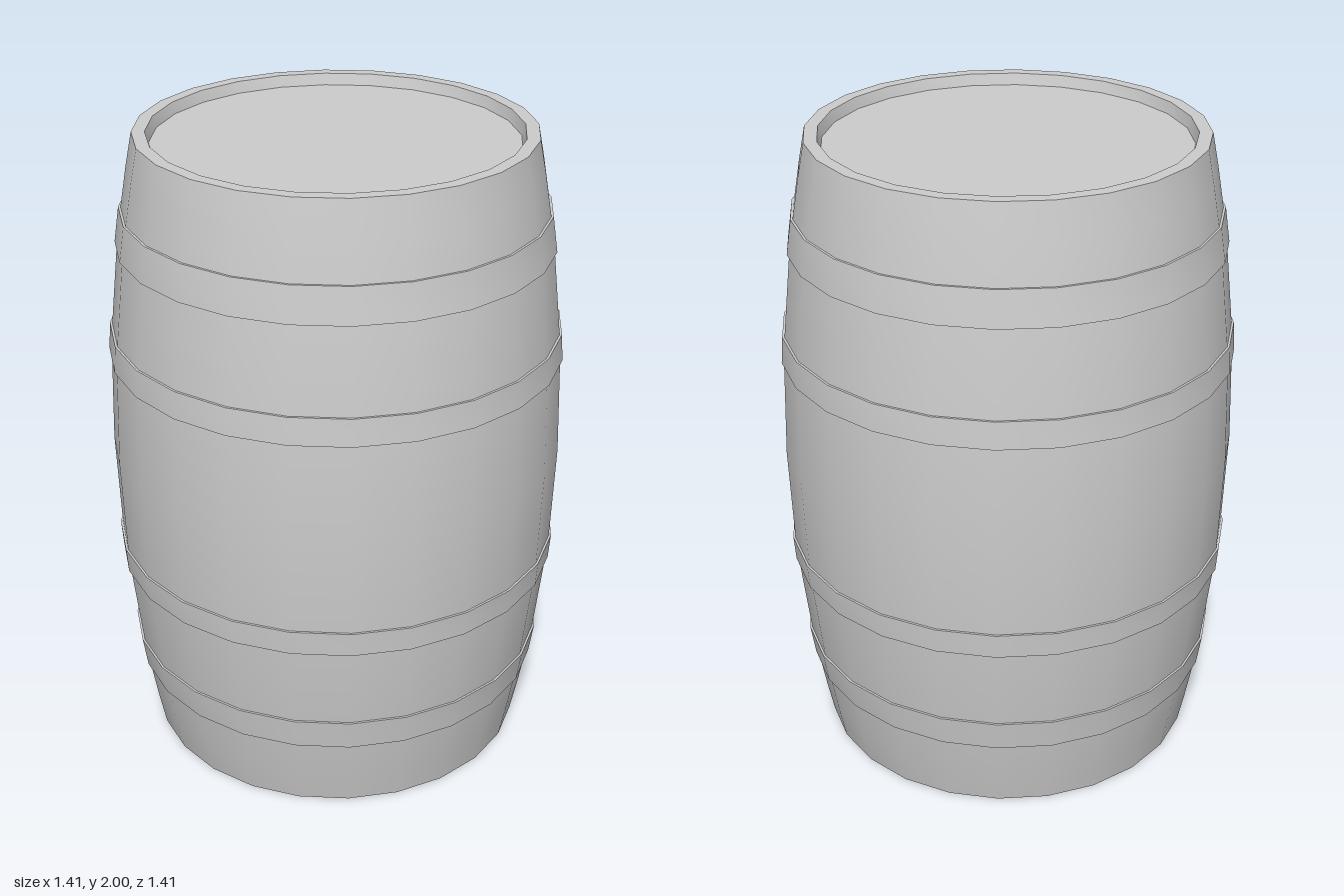
import * as THREE from 'three';
import { toCreasedNormals } from 'three/addons/utils/BufferGeometryUtils.js';

const SIDES = 24;
const RECESS = 0.035;
const material = new THREE.MeshStandardMaterial({ color: 0xcccccc });

// Bulging stave radius at height y
const bulge = (y) => 0.705 - 0.105 * (y - 1) ** 2;

// Turn a list of [radius, height] points, bottom to top, into a smooth-sided mesh
function turned(name, points, crease = 0.5) {
  const lathe = new THREE.LatheGeometry(points.map(([r, y]) => new THREE.Vector2(r, y)), SIDES);
  const mesh = new THREE.Mesh(toCreasedNormals(lathe, crease), material);
  mesh.name = name;
  return mesh;
}

// Flat barrel end, facing up or down
function head(name, y, up) {
  const geometry = new THREE.CircleGeometry(0.553, SIDES);
  // start the rim on the z axis like the lathe
  geometry.rotateX(up ? -Math.PI / 2 : Math.PI / 2);
  const mesh = new THREE.Mesh(geometry, material);
  mesh.name = name;
  mesh.position.y = y;
  return mesh;
}

export function createModel() {
  const barrel = new THREE.Group();
  barrel.name = 'barrel';

  // Stave wall with a flat rim and a shallow recess at each end
  const heights = [0, 0.1, 0.24, 0.34, 0.61, 0.69, 1, 1.31, 1.39, 1.66, 1.76, 1.9, 2];
  barrel.add(turned('staves', [
    [0.55, RECESS],
    [0.56, 0],
    ...heights.map((y) => [bulge(y), y]),
    [0.56, 2],
    [0.55, 2 - RECESS],
  ]));

  // Hoops standing slightly proud of the staves
  const hoops = [[0.24, 0.34], [0.61, 0.69], [1.31, 1.395], [1.66, 1.77]];
  hoops.forEach(([low, high], i) => {
    const lift = 0.007;
    barrel.add(turned(`hoop${i + 1}`, [
      [bulge(low) - 0.005, low],
      [bulge(low) + lift, low],
      [bulge(high) + lift, high],
      [bulge(high) - 0.005, high],
    ]));
  });

  // Recessed ends
  barrel.add(head('topHead', 2 - RECESS, true), head('bottomHead', RECESS, false));
  return barrel;
}
